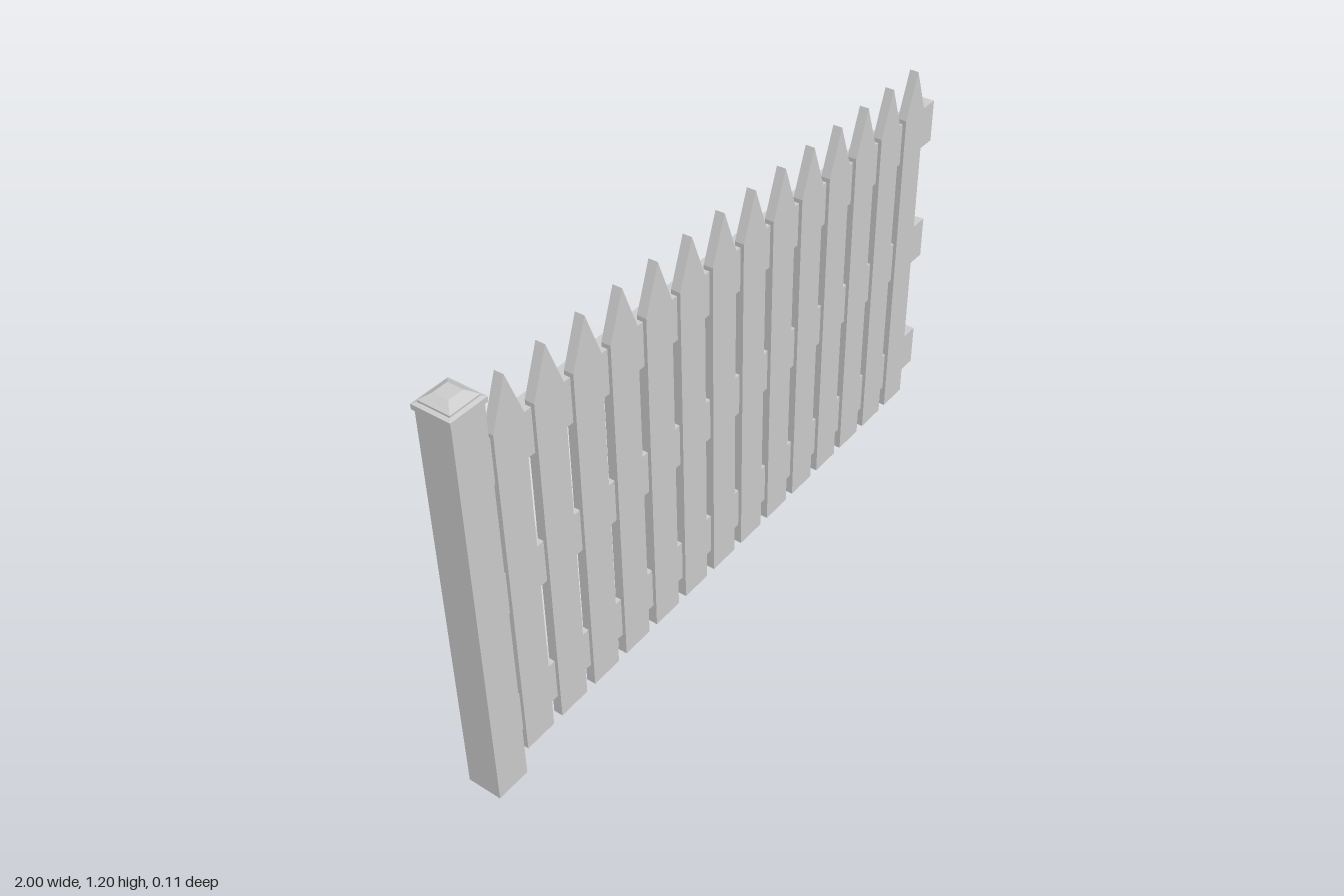
import * as THREE from 'three';

const material = new THREE.MeshStandardMaterial({ color: 0xcccccc, flatShading: true });

export function createModel() {
  const fence = new THREE.Group();
  fence.name = 'picketFence';

  const add = (name, geometry, x, y, z) => {
    const mesh = new THREE.Mesh(geometry, material);
    mesh.name = name;
    mesh.position.set(x, y, z);
    fence.add(mesh);
  };

  // Square end post
  const postX = -0.945;
  add('post', new THREE.BoxGeometry(0.1, 1.165, 0.1), postX, 0.5825, 0);

  // Post cap: square slab, stepped moulding and truncated pyramid (half width, height)
  const capProfile = [
    [0, 1.163], [0.055, 1.163], [0.055, 1.177], [0.045, 1.18],
    [0.045, 1.185], [0.022, 1.2], [0, 1.2],
  ].map(([half, y]) => new THREE.Vector2(half * Math.SQRT2, y));
  add('postCap', new THREE.LatheGeometry(capProfile, 4, Math.PI / 4), postX, 0, 0);

  // Three horizontal rails running from the post to the open end
  const railStart = -0.9, railEnd = 1;
  for (const y of [0.181, 0.582, 0.974]) {
    add('rail', new THREE.BoxGeometry(railEnd - railStart, 0.127, 0.047),
      (railStart + railEnd) / 2, y, 0.0015);
  }

  // Pointed pickets on the front of the rails
  const outline = new THREE.Shape([
    [-0.049, 0.052], [0.049, 0.052], [0.049, 1.05], [0, 1.18], [-0.049, 1.05],
  ].map(([x, y]) => new THREE.Vector2(x, y)));
  const picket = new THREE.ExtrudeGeometry(outline, { depth: 0.027, bevelEnabled: false });
  for (let i = 0; i < 14; i++) add('picket', picket, -0.819 + i * 0.1303, 0, 0.008);

  return fence;
}
